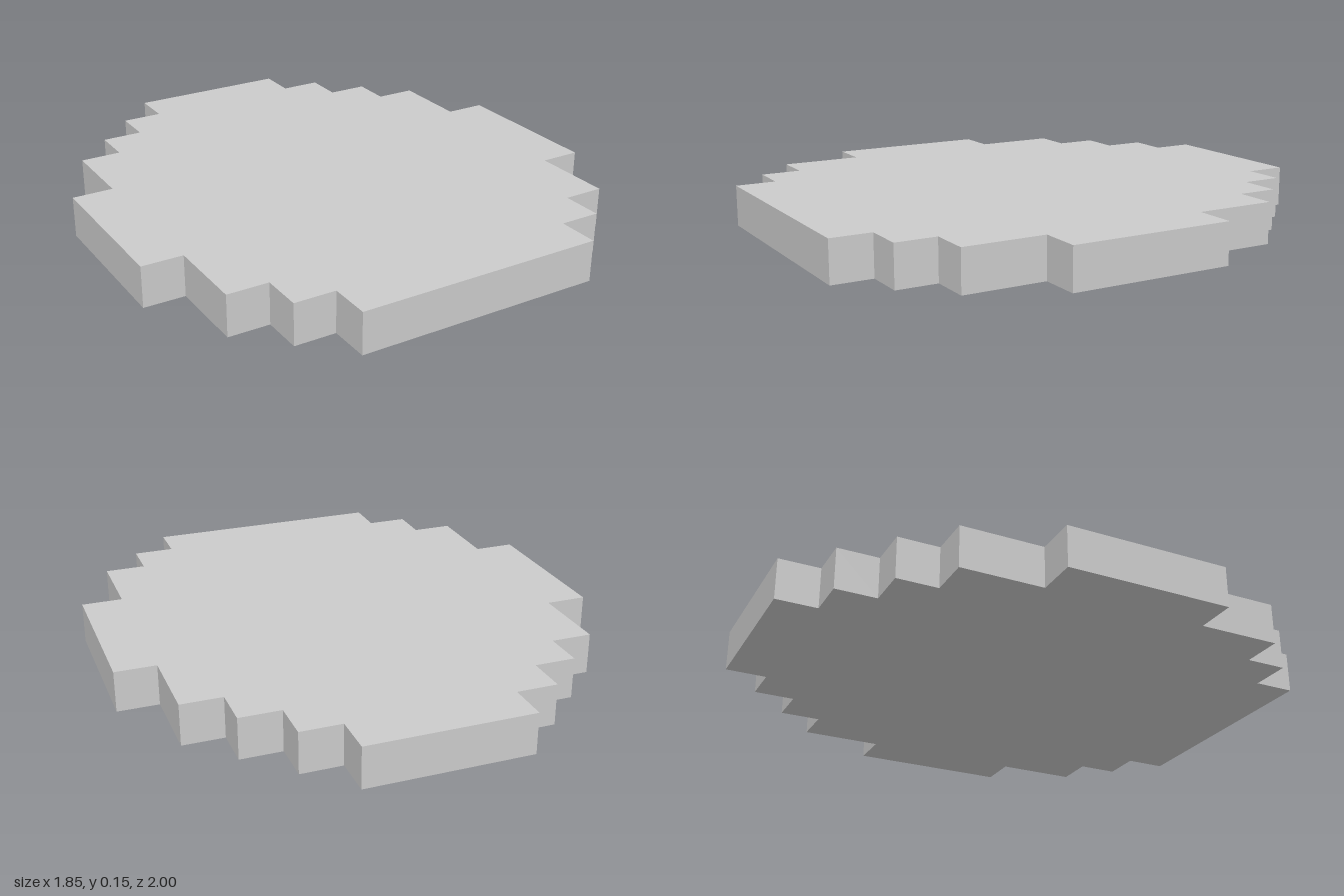
import * as THREE from 'three';

const CELL = 2 / 13; // the outline steps on a grid 13 cells long

// Rows from back to front: [half width, end row], in cells
const ROWS = [[2, 1], [3, 2], [4, 3], [5, 5], [6, 9], [5, 11], [4, 12], [3, 13]];

export function createModel() {
  const group = new THREE.Group();
  group.name = 'steppedOvalPlate';

  // Right-hand staircase from back to front, then its mirror back again
  const side = [];
  let start = 0;
  for (const [half, end] of ROWS) {
    side.push([half, start], [half, end]);
    start = end;
  }
  const mirrored = side.map(([x, row]) => [-x, row]).reverse();
  const outline = [...side, ...mirrored].map(
    ([x, row]) => new THREE.Vector2(x * CELL, 1 - row * CELL)
  );

  // Flat slab, one cell thick, laid down on the ground
  const geometry = new THREE.ExtrudeGeometry(new THREE.Shape(outline), {
    depth: CELL,
    bevelEnabled: false,
  });
  geometry.rotateX(-Math.PI / 2);

  const plate = new THREE.Mesh(
    geometry,
    new THREE.MeshStandardMaterial({ color: 0xcccccc, flatShading: true })
  );
  plate.name = 'plate';
  group.add(plate);
  return group;
}
